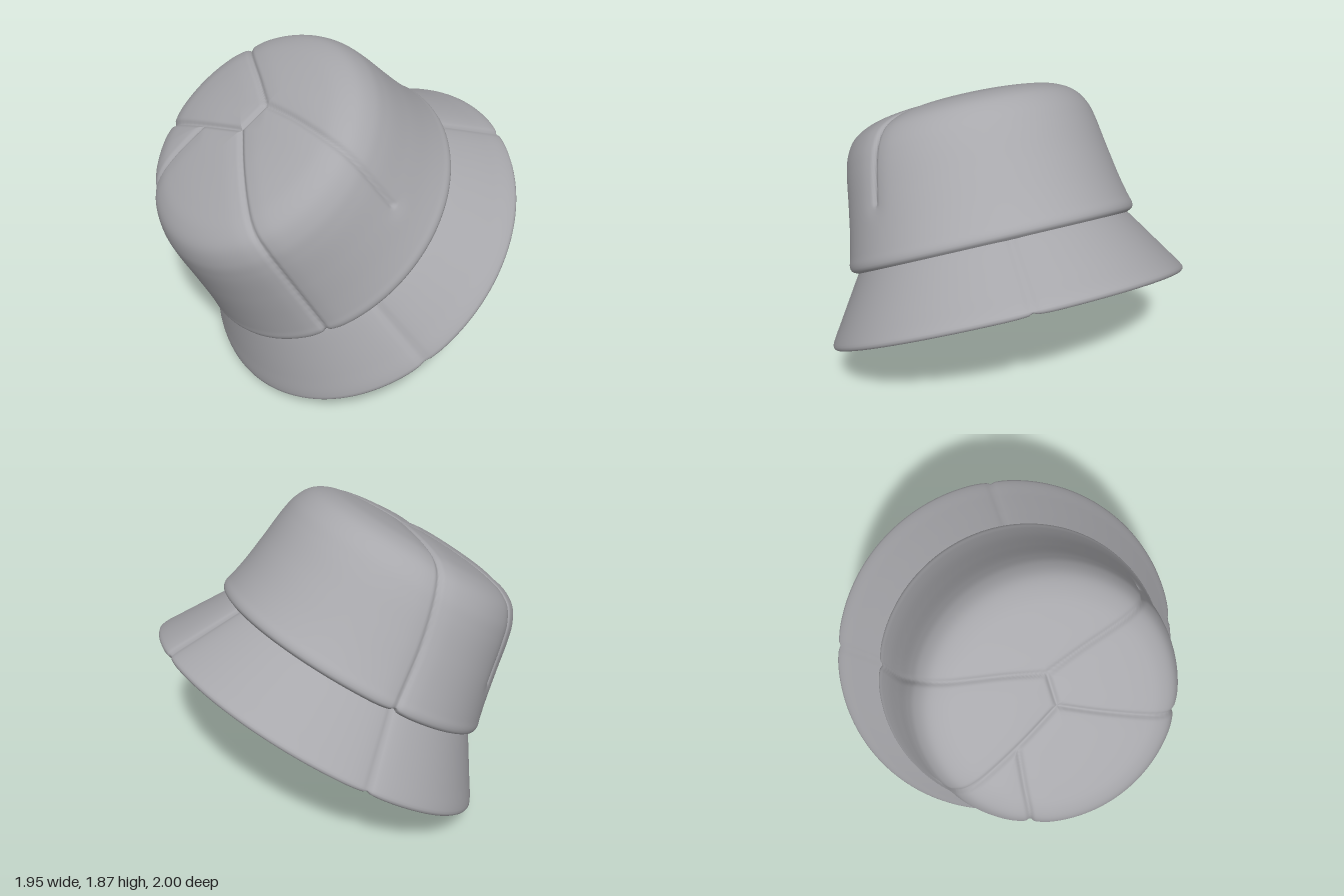
import * as THREE from 'three';

const TILT = 0.646; // whole hat leans about z

const fabric = new THREE.MeshStandardMaterial({ color: 0xa8a8ac });
fabric.name = 'grey fabric';

// Smooth profile of [radius, height] points, ordered from the outside top inwards
const profileCurve = (pts) =>
  new THREE.CatmullRomCurve3(pts.map(([r, y]) => new THREE.Vector3(r, y, 0)), false, 'centripetal');

// Point on the revolved surface; the crown top is shifted slightly sideways
function onSurface(p, angle) {
  const shift = 0.02 * THREE.MathUtils.smoothstep(p.y, 0.45, 1.1);
  return new THREE.Vector3(p.x * Math.cos(angle) + shift, p.y, p.x * Math.sin(angle));
}

// Seam given as [fraction along profile, degrees], splined in the unrolled surface
function seamPoints(curve, seam) {
  const flat = seam.map(([u, deg]) => {
    const a = THREE.MathUtils.degToRad(deg);
    return new THREE.Vector3(u * Math.cos(a), u * Math.sin(a), 0);
  });
  const path = new THREE.CatmullRomCurve3(flat, false, 'centripetal');
  return path.getSpacedPoints(140).map((q) =>
    onSurface(curve.getPointAt(Math.min(1, Math.hypot(q.x, q.y))), Math.atan2(q.y, q.x)));
}

// Revolve a profile and press the stitched seams into it
function seamedShell(name, profile, rows, cols, seams, depth) {
  const curve = profileCurve(profile);
  const pos = [];
  const index = [];
  for (let i = 0; i <= rows; i++) {
    const p = curve.getPointAt(i / rows);
    for (let j = 0; j < cols; j++) {
      pos.push(...onSurface(p, (j / cols) * Math.PI * 2).toArray());
      if (i === rows) continue;
      const k = (j + 1) % cols;
      const a = i * cols + j, b = a + cols, c = i * cols + k, d = c + cols;
      index.push(a, c, b, c, d, b);
    }
  }
  const geo = new THREE.BufferGeometry();
  geo.setAttribute('position', new THREE.Float32BufferAttribute(pos, 3));
  geo.setIndex(index);
  geo.computeVertexNormals();

  if (seams.length) {
    const lines = seams.flatMap((s) => seamPoints(curve, s));
    const P = geo.attributes.position, N = geo.attributes.normal;
    const v = new THREE.Vector3(), n = new THREE.Vector3();
    for (let i = 0; i < P.count; i++) {
      v.fromBufferAttribute(P, i);
      let d2 = Infinity;
      for (const q of lines) d2 = Math.min(d2, v.distanceToSquared(q));
      // narrow stitch line plus a soft pillowed dip
      const dip = depth * (Math.exp(-d2 / 0.00022) + 0.5 * Math.exp(-d2 / 0.004));
      n.fromBufferAttribute(N, i);
      v.addScaledVector(n, -dip);
      P.setXYZ(i, v.x, v.y, v.z);
    }
    geo.computeVertexNormals();
  }
  const mesh = new THREE.Mesh(geo, fabric);
  mesh.name = name;
  return mesh;
}

export function createModel() {
  const hat = new THREE.Group();
  hat.name = 'bucketHat';

  // Crown: domed top, tapered wall, rolled lower edge
  const crownProfile = [
    [0, 1.205], [0.25, 1.2], [0.45, 1.178], [0.56, 1.15], [0.64, 1.1], [0.69, 1.02],
    [0.715, 0.93], [0.745, 0.75], [0.775, 0.58], [0.8, 0.47], [0.811, 0.43], [0.805, 0.4], [0.77, 0.38],
  ];
  const rightArm = (s) => [[0.125, 0], [0.22, 41 * s], [0.41, 59 * s], [0.54, 63 * s]];
  const leftArm = (s) => [[0, 0], [0.165, 119 * s], [0.41, 118 * s], [0.53, 117 * s]];
  const crownSeams = [
    [[0, 0], [0.125, 0]],                                           // short ridge on top
    [...rightArm(1), [0.74, 66]],                                   // stops halfway
    [...rightArm(-1), [0.75, -67], [1, -68]],
    [...leftArm(1), [0.75, 118.5], [0.98, 120]],
    [...leftArm(-1), [0.76, -118]],                                 // stops halfway
    [[0.21, -122], [0.3, -140], [0.45, -152], [0.6, -156], [1, -157]], // branch
  ];
  hat.add(seamedShell('crown', crownProfile, 110, 380, crownSeams, 0.016));

  // Brim: flared outside, rounded rim, inner face
  const brimProfile = [
    [0.76, 0.4], [0.782, 0.37], [0.85, 0.265], [0.93, 0.14], [0.99, 0.045], [1.0, 0.018], [0.985, 0],
    [0.955, 0], [0.93, 0.02], [0.88, 0.08], [0.78, 0.2], [0.7, 0.295], [0.685, 0.315], [0.682, 0.34],
  ];
  const brimSeams = [11, 99, -68, -157].map((deg) => [[0.02, deg], [0.5, deg], [0.97, deg]]);
  hat.add(seamedShell('brim', brimProfile, 70, 260, brimSeams, 0.01));

  // Lining: shallow panel closing the opening
  const liningProfile = [[0.69, 0.34], [0.672, 0.318], [0.6, 0.318], [0.3, 0.33], [0, 0.335]];
  hat.add(seamedShell('lining', liningProfile, 20, 120, [], 0));

  hat.rotation.z = TILT;
  hat.position.set(0.195, 0.6, 0);
  const model = new THREE.Group();
  model.name = 'hat';
  model.add(hat);
  return model;
}
